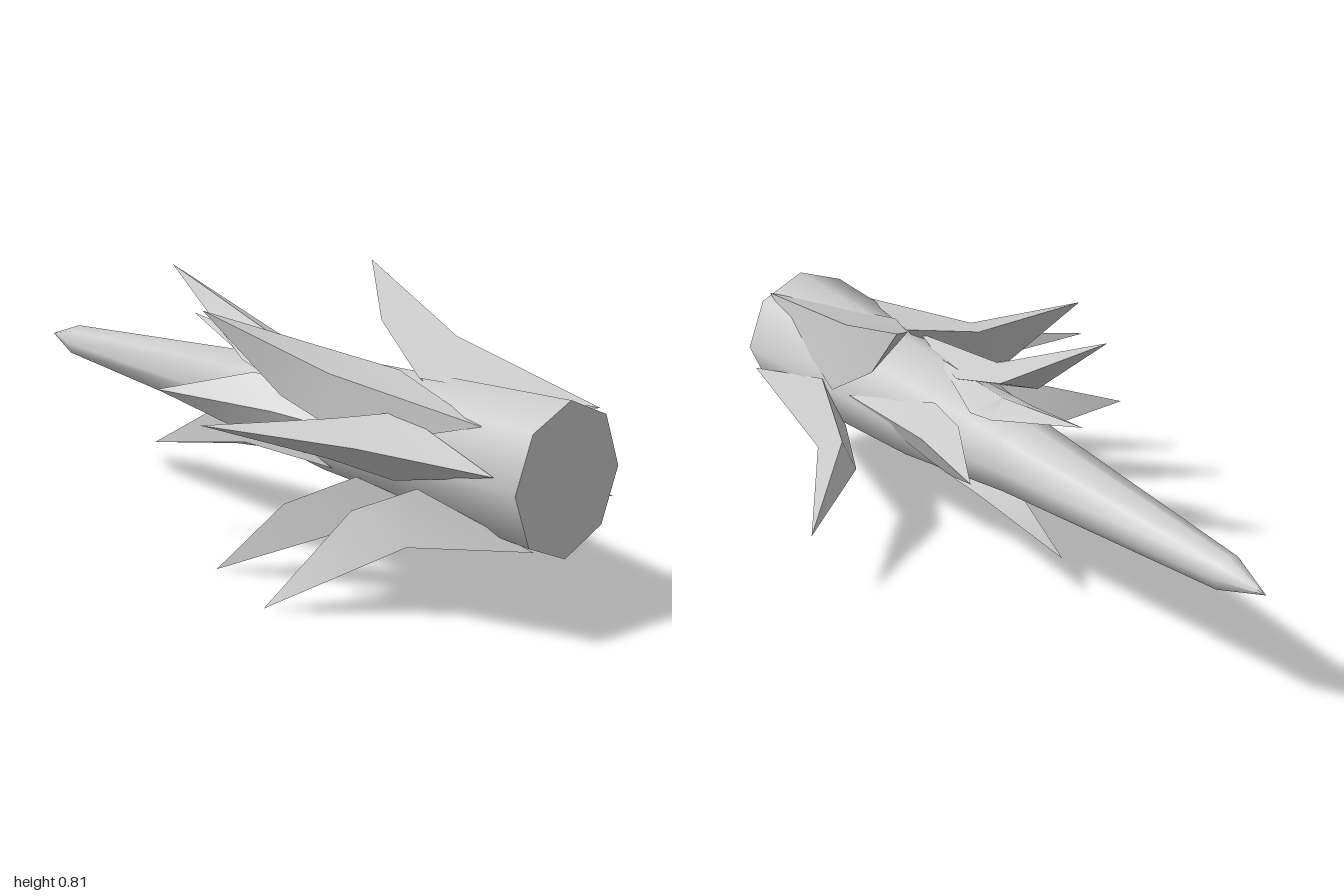
import * as THREE from 'three';
import { toCreasedNormals } from 'three/addons/utils/BufferGeometryUtils.js';

const CX = 0.022;
const axisY = z => 0.42 + 0.024 * (1 - z);

// Stalk profile: radius at each depth, tapering to a pointed tip
const PROFILE = [[1, 0.194], [0.3, 0.16], [-0.1, 0.108], [-0.87, 0.047], [-1, 0]];

function stalkRadius(z) {
  for (let i = 1; i < PROFILE.length; i++) {
    const [z0, r0] = PROFILE[i - 1], [z1, r1] = PROFILE[i];
    if (z >= z1) return r0 + (r1 - r0) * (z0 - z) / (z0 - z1);
  }
  return 0;
}

// Point at an angle and radius around the stalk, shifted sideways by side
function around(angle, r, z, side = 0) {
  const c = Math.cos(angle), s = Math.sin(angle);
  return [CX + c * r - s * side, axisY(z) + s * r + c * side, z];
}

function createStalk(material) {
  const pts = [[0, 1], ...PROFILE.map(([z, r]) => [r, z])].map(([r, z]) => new THREE.Vector2(r, -z));
  const geo = new THREE.LatheGeometry(pts, 8);
  geo.rotateX(-Math.PI / 2);
  const pos = geo.attributes.position;
  for (let i = 0; i < pos.count; i++) {
    const z = pos.getZ(i);
    pos.setXYZ(i, pos.getX(i) + CX, pos.getY(i) + axisY(z), z);
  }
  const mesh = new THREE.Mesh(toCreasedNormals(geo, 1), material);
  mesh.name = 'stalk';
  return mesh;
}

// Folded leaf: its ridge rises from the root to the bend, its edges leave
// the stalk at the hug depth, and everything meets in the tip
function createLeaf({ tip, root, hug, bend, drop, r, w, spread }, material) {
  const a = Math.atan2(tip[1] - axisY(tip[2]), tip[0] - CX);
  const base = stalkRadius(hug) + 0.004;
  const p = [
    around(a, stalkRadius(root) - 0.002, root),
    around(a + spread, base, hug),
    around(a - spread, base, hug),
    around(a, r, bend - drop, w),
    around(a, r + 0.03, bend),
    around(a, r, bend - drop, -w),
    tip,
  ];
  const faces = [
    [0, 4, 1], [0, 2, 4], [1, 4, 3], [2, 5, 4], // outer fold
    [3, 4, 6], [4, 5, 6],                       // outer point
    [1, 3, 5], [1, 5, 2], [3, 6, 5],            // inner side
  ];
  const geo = new THREE.BufferGeometry();
  geo.setAttribute('position', new THREE.Float32BufferAttribute(faces.flat().flatMap(i => p[i]), 3));
  return new THREE.Mesh(toCreasedNormals(geo, 0.9), material);
}

export function createModel() {
  const group = new THREE.Group();
  group.name = 'spikyStalk';
  const material = new THREE.MeshStandardMaterial({ color: 0xcccccc, side: THREE.DoubleSide });
  group.add(createStalk(material));

  // Leaves, from the large lower whorl to the small upper ones
  const leaves = [
    { tip: [0.28, 0.805, 0.11], root: 1, hug: 0.57, bend: 0.5, drop: 0.19, r: 0.257, w: 0.075, spread: 0.9 },
    { tip: [0.51, 0.235, 0.21], root: 1, hug: 0.62, bend: 0.5, drop: 0.12, r: 0.27, w: 0.055, spread: 0.55 },
    { tip: [-0.51, 0.515, 0.3], root: 0.93, hug: 0.6, bend: 0.6, drop: 0.11, r: 0.28, w: 0.05, spread: 0.5 },
    { tip: [-0.32, 0.005, 0.32], root: 1, hug: 0.68, bend: 0.65, drop: 0.16, r: 0.25, w: 0.06, spread: 0.55 },
    { tip: [-0.315, 0.74, 0.09], root: 0.85, hug: 0.48, bend: 0.4, drop: 0.14, r: 0.23, w: 0.08, spread: 0.7 },
    { tip: [-0.195, 0, 0], root: 0.85, hug: 0.45, bend: 0.36, drop: 0.15, r: 0.27, w: 0.055, spread: 0.55 },
    { tip: [-0.32, 0.505, -0.09], root: 0.6, hug: 0.26, bend: 0.2, drop: 0.12, r: 0.175, w: 0.08, spread: 0.65 },
    { tip: [-0.125, 0.795, -0.25], root: 0.47, hug: 0.17, bend: 0.12, drop: 0.11, r: 0.165, w: 0.07, spread: 0.6 },
    { tip: [0.25, 0.47, -0.16], root: 0.5, hug: 0.16, bend: 0.14, drop: 0.12, r: 0.14, w: 0.075, spread: 0.65 },
    { tip: [-0.18, 0.3, -0.27], root: 0.35, hug: 0.06, bend: 0.02, drop: 0.1, r: 0.135, w: 0.07, spread: 0.65 },
    { tip: [0.02, 0.63, -0.33], root: 0.3, hug: 0.04, bend: 0, drop: 0.04, r: 0.11, w: 0.07, spread: 0.65 },
  ];
  leaves.forEach((leaf, i) => {
    const mesh = createLeaf(leaf, material);
    mesh.name = `leaf${i + 1}`;
    group.add(mesh);
  });
  return group;
}
